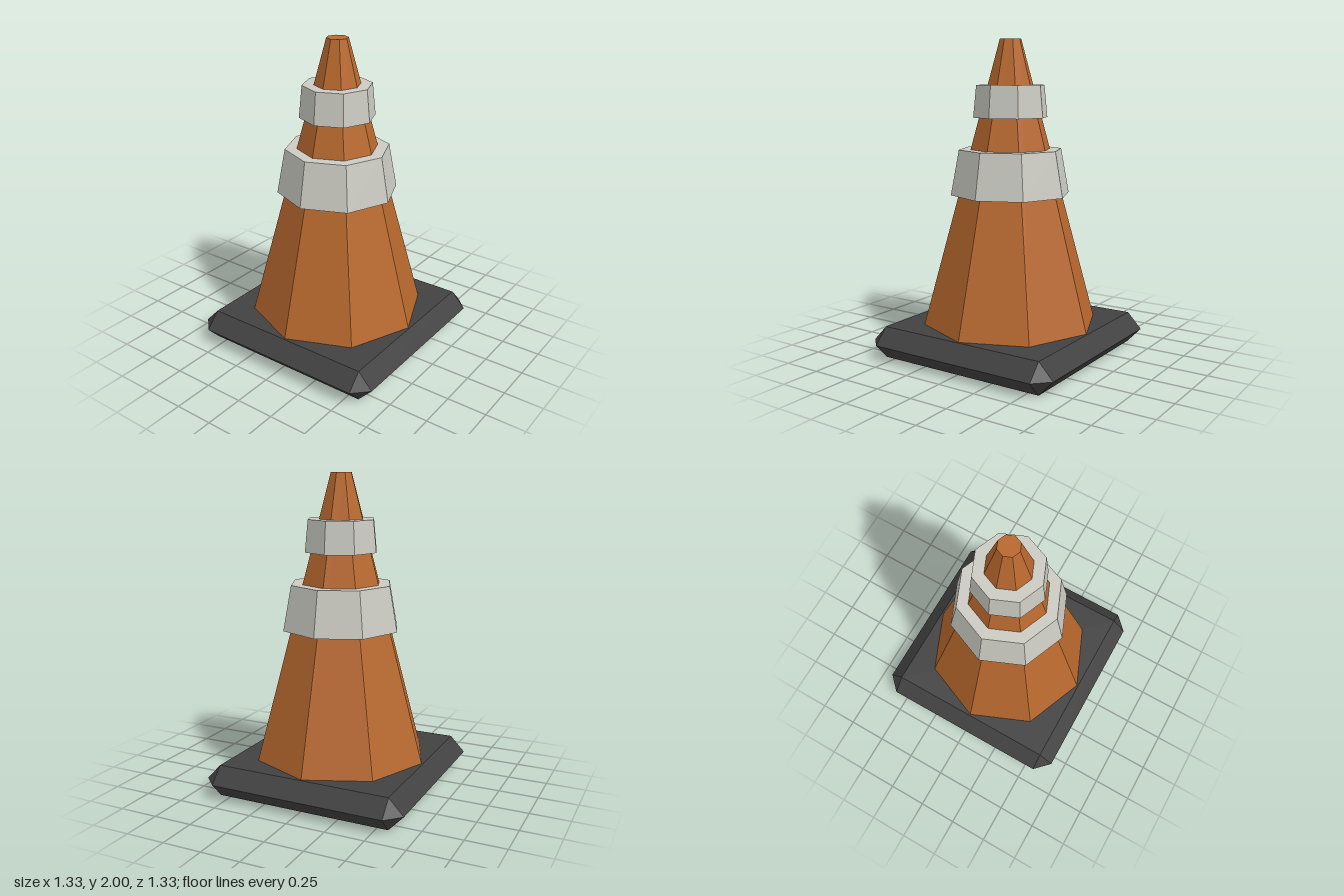
import * as THREE from 'three';
import { ConvexGeometry } from 'three/addons/geometries/ConvexGeometry.js';

const orange = new THREE.MeshStandardMaterial({ color: 0xb8682e });
const paleGrey = new THREE.MeshStandardMaterial({ color: 0xcbcbc3 });
const charcoal = new THREE.MeshStandardMaterial({ color: 0x414141 });
orange.name = 'orange';
paleGrey.name = 'paleGrey';
charcoal.name = 'charcoal';

// Eight-sided tapered solid between two heights, with corners on the axes
function taperedOctagon(name, bottomRadius, topRadius, y0, y1, material) {
  const geometry = new THREE.CylinderGeometry(topRadius, bottomRadius, y1 - y0, 8).toNonIndexed();
  geometry.computeVertexNormals(); // one normal per facet
  const mesh = new THREE.Mesh(geometry, material);
  mesh.name = name;
  mesh.position.y = (y0 + y1) / 2;
  return mesh;
}

// Square slab with bevelled edges and clipped corners
function bevelledBase(inner, outer, height) {
  const points = [];
  for (const sx of [-1, 1]) {
    for (const sz of [-1, 1]) {
      points.push(
        new THREE.Vector3(sx * inner, 0, sz * inner),
        new THREE.Vector3(sx * inner, height, sz * inner),
        new THREE.Vector3(sx * outer, height / 2, sz * inner),
        new THREE.Vector3(sx * inner, height / 2, sz * outer)
      );
    }
  }
  const mesh = new THREE.Mesh(new ConvexGeometry(points), charcoal);
  mesh.name = 'base';
  return mesh;
}

export function createModel() {
  const group = new THREE.Group();
  group.name = 'trafficCone';
  group.add(
    bevelledBase(0.57, 0.665, 0.2),
    taperedOctagon('coneBody', 0.562, 0.068, 0.195, 2, orange),
    taperedOctagon('lowerBand', 0.383, 0.33, 1.03, 1.315, paleGrey),
    taperedOctagon('upperBand', 0.238, 0.218, 1.515, 1.717, paleGrey)
  );
  return group;
}
